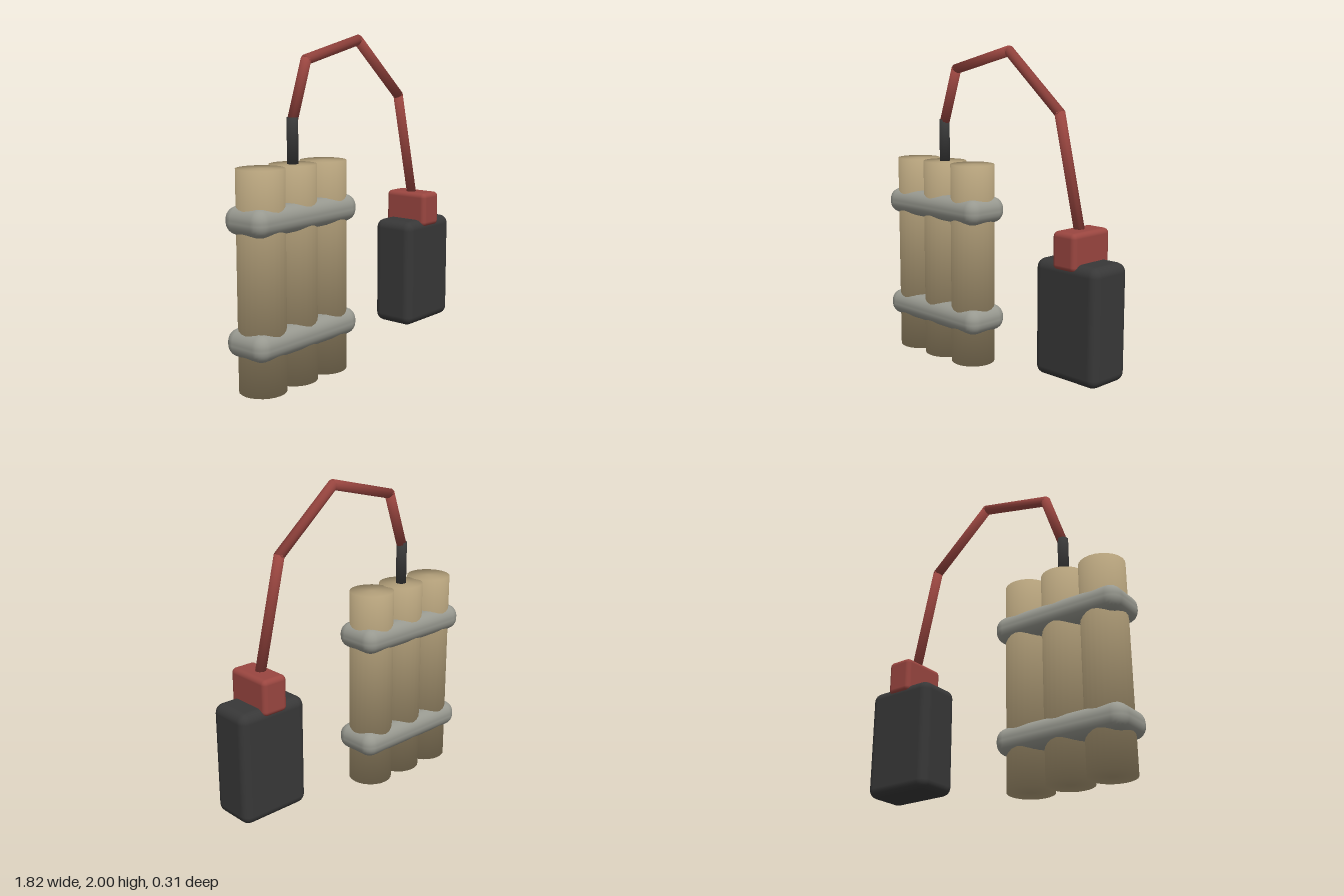
import * as THREE from 'three';
import { RoundedBoxGeometry } from 'three/addons/geometries/RoundedBoxGeometry.js';

const mat = (name, color) => Object.assign(new THREE.MeshStandardMaterial({ color }), { name });

// Capped cylinder whose rim normals are blended softly between side and cap
function softCylinder(radius, height, sides) {
  const g = new THREE.CylinderGeometry(radius, radius, height, sides);
  const p = g.attributes.position;
  const n = new THREE.Vector3();
  for (let i = 0; i < p.count; i++) {
    const x = p.getX(i), z = p.getZ(i);
    const onRim = Math.hypot(x, z) > radius * 0.5;
    n.set(x, Math.sign(p.getY(i)) * radius, z).normalize();
    if (onRim) g.attributes.normal.setXYZ(i, n.x, n.y, n.z);
  }
  return g;
}

export function createModel() {
  const model = new THREE.Group();
  const tan = mat('tan paper', 0xb09d78);
  const grey = mat('grey strap', 0x989990);
  const black = mat('black plastic', 0x383838);
  const red = mat('red plastic', 0x9a4640);

  const add = (name, geometry, material, x, y, z = 0) => {
    const mesh = new THREE.Mesh(geometry, material);
    mesh.name = name;
    mesh.position.set(x, y, z);
    model.add(mesh);
    return mesh;
  };

  // Row of three sticks
  [-0.747, -0.487, -0.227].forEach((x, i) =>
    add(`stick${i + 1}`, softCylinder(0.138, 1.275, 24), tan, x, 0.6375));

  // Two straps wrapped around the sticks
  [['lowerStrap', 0.29], ['upperStrap', 0.988]].forEach(([name, y]) =>
    add(name, new RoundedBoxGeometry(0.845, 0.165, 0.31, 3, 0.075), grey, -0.4875, y));

  // Battery box and its plug
  add('batteryBox', new RoundedBoxGeometry(0.46, 0.69, 0.29, 3, 0.055), black, 0.675, 0.465);
  add('plug', new RoundedBoxGeometry(0.168, 0.22, 0.31, 3, 0.03), red, 0.673, 0.876);

  // Cap standing on the middle stick
  add('wireCap', softCylinder(0.033, 0.32, 14), black, -0.487, 1.38);

  // Wire made of straight lengths
  const path = [[-0.483, 1.53], [-0.37, 1.86], [0.095, 1.973], [0.502, 1.627], [0.668, 0.94]]
    .map(([x, y]) => new THREE.Vector3(x, y, 0));
  const up = new THREE.Vector3(0, 1, 0);
  for (let i = 0; i < path.length - 1; i++) {
    const dir = path[i + 1].clone().sub(path[i]);
    const mid = path[i].clone().addScaledVector(dir, 0.5);
    const length = dir.length() + 0.014;
    const mesh = add(`wire${i + 1}`, softCylinder(0.031, length, 14), red, mid.x, mid.y);
    mesh.quaternion.setFromUnitVectors(up, dir.normalize());
  }

  return model;
}
